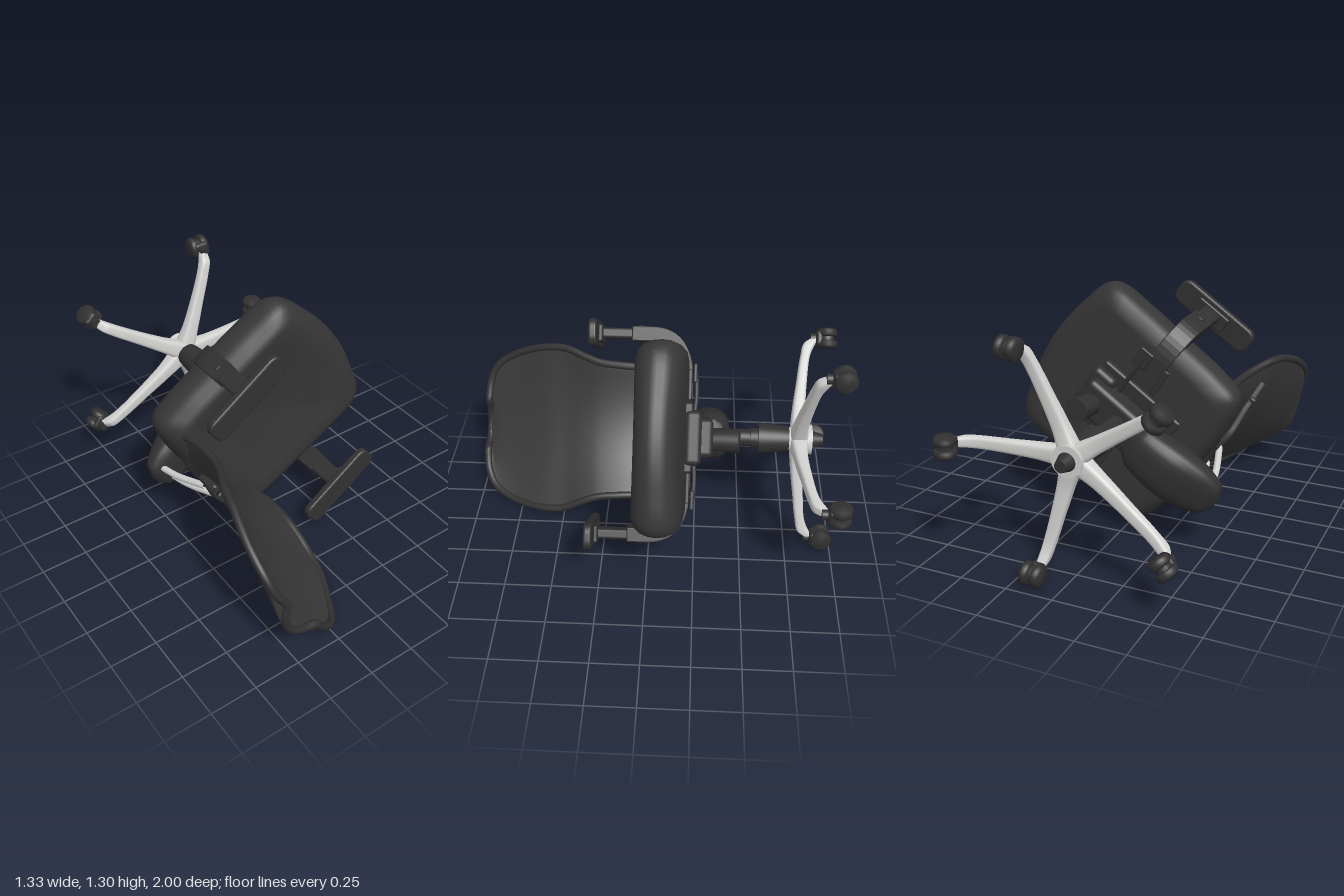
import * as THREE from 'three';
import { RoundedBoxGeometry } from 'three/addons/geometries/RoundedBoxGeometry.js';

const mat = (name, color) => Object.assign(new THREE.MeshStandardMaterial({ color }), { name });

// Skins a list of equal-length closed rings and closes both ends with fans.
function loft(rings) {
  const n = rings[0].length, pos = [], idx = [];
  rings.forEach(r => r.forEach(p => pos.push(...p)));
  for (let i = 0; i < rings.length - 1; i++) {
    for (let j = 0; j < n; j++) {
      const k = (j + 1) % n, a = i * n + j, b = a + n, c = i * n + k, d = c + n;
      idx.push(a, b, c, c, b, d);
    }
  }
  const last = (rings.length - 1) * n;
  for (let j = 1; j < n - 1; j++) idx.push(0, j, j + 1, last, last + j + 1, last + j);
  const g = new THREE.BufferGeometry();
  g.setAttribute('position', new THREE.Float32BufferAttribute(pos, 3));
  g.setIndex(idx);
  g.computeVertexNormals();
  return g;
}

// Smooth bar along +x with oval sections [x, z, halfWidth, halfHeight]; a low power squares the oval.
function ovalBar(sections, power, steps = 24, n = 24) {
  const centre = new THREE.CatmullRomCurve3(sections.map(s => new THREE.Vector3(s[0], s[1], 0)));
  const size = new THREE.CatmullRomCurve3(sections.map(s => new THREE.Vector3(s[2], s[3], 0)));
  const q = v => Math.sign(v) * Math.abs(v) ** power;
  const rings = [];
  for (let i = 0; i <= steps; i++) {
    const c = centre.getPoint(i / steps), h = size.getPoint(i / steps), ring = [];
    for (let j = 0; j < n; j++) {
      const t = (j / n) * Math.PI * 2;
      ring.push([c.x, h.x * q(Math.cos(t)), c.y - h.y * q(Math.sin(t))]);
    }
    rings.push(ring);
  }
  return loft(rings);
}

// Seat cushion: one outline shrunk and lifted through a pillow profile.
function seatGeometry() {
  const half = [[0.565, 0.25], [0.487, 0.463], [0.27, 0.488], [0, 0.485], [-0.25, 0.48], [-0.385, 0.45], [-0.435, 0.28]];
  const pts = [[0.595, 0], ...half, [-0.445, 0], ...half.map(([a, b]) => [a, -b]).reverse()];
  const line = new THREE.CatmullRomCurve3(pts.map(p => new THREE.Vector3(p[0], p[1], 0)), true).getPoints(96).slice(0, 96);
  const profile = [[0.002, 0.078], [0.25, 0.085], [0.5, 0.1], [0.7, 0.12], [0.82, 0.127], [0.9, 0.115], [0.96, 0.08], [0.99, 0.037],
    [1, -0.005], [0.99, -0.047], [0.96, -0.085], [0.9, -0.113], [0.8, -0.124], [0.4, -0.124], [0.002, -0.124]];
  return loft(profile.map(([s, h]) => line.map(p => {
    const a = 0.06 + (p.x - 0.06) * s, b = p.y * s, front = Math.max(0, a - 0.4);
    return [a, b, -0.078 + 0.055 * a + (0.05 - 1.5 * h) * front + h];
  })));
}

// Backrest: thin bowed sections through [height, edge position, half width].
const backLine = new THREE.CatmullRomCurve3([
  [0.982, -0.565, 0.15], [0.97, -0.555, 0.26], [0.92, -0.525, 0.355], [0.8, -0.475, 0.425], [0.62, -0.4, 0.462], [0.5, -0.365, 0.455],
  [0.4, -0.335, 0.415], [0.3, -0.315, 0.38], [0.15, -0.31, 0.365], [0.02, -0.33, 0.355], [-0.05, -0.36, 0.32],
].map(p => new THREE.Vector3(...p)));
const bowed = (u, s) => {
  const p = backLine.getPoint(u);
  return new THREE.Vector3(p.y - 0.085 * (1 - s * s), p.z * s, p.x);
};
function backGeometry() {
  const rings = [], steps = 50, n = 48;
  for (let i = 0; i <= steps; i++) {
    const ring = [];
    for (let j = 0; j < n; j++) {
      const t = (j / n) * Math.PI * 2, p = bowed(i / steps, Math.sin(t));
      ring.push([p.x + 0.018 * Math.cos(t), p.y, p.z]);
    }
    rings.push(ring);
  }
  return loft(rings);
}

// Rounded rim around the backrest, down one edge, across the foot, up the other and over the top.
function rimGeometry() {
  const path = [];
  for (let i = 0; i <= 30; i++) path.push(bowed(i / 30, 1));
  for (let i = 1; i < 8; i++) path.push(bowed(1, 1 - i / 4));
  for (let i = 30; i >= 0; i--) path.push(bowed(i / 30, -1));
  for (let i = 1; i < 8; i++) path.push(bowed(0, -1 + i / 4));
  return new THREE.TubeGeometry(new THREE.CatmullRomCurve3(path, true), 180, 0.021, 10, true);
}

// Armrest pad: bevelled rounded rectangle lying flat.
function padGeometry() {
  const l = 0.23, w = 0.055, r = 0.042, s = new THREE.Shape();
  s.moveTo(-l + r, -w).lineTo(l - r, -w).quadraticCurveTo(l, -w, l, -w + r).lineTo(l, w - r).quadraticCurveTo(l, w, l - r, w);
  s.lineTo(-l + r, w).quadraticCurveTo(-l, w, -l, w - r).lineTo(-l, -w + r).quadraticCurveTo(-l, -w, -l + r, -w);
  return new THREE.ExtrudeGeometry(s, { depth: 0.02, bevelSize: 0.015, bevelThickness: 0.012, bevelSegments: 4, curveSegments: 8 });
}

// Curved bracket running from below the seat out and up to the armrest.
function bracketGeometry(side) {
  const s = new THREE.Shape(), x = v => v * side;
  s.moveTo(x(0.2), -0.215).lineTo(x(0.37), -0.208).quadraticCurveTo(x(0.555), -0.175, x(0.56), -0.01).lineTo(x(0.56), 0.1);
  s.lineTo(x(0.495), 0.1).lineTo(x(0.495), -0.04).quadraticCurveTo(x(0.48), -0.14, x(0.37), -0.165).lineTo(x(0.2), -0.175);
  const g = new THREE.ExtrudeGeometry(s, { depth: 0.1, bevelSize: 0.006, bevelThickness: 0.006, bevelSegments: 2, curveSegments: 10 });
  return g.translate(0, 0, -0.05).rotateX(Math.PI / 2).rotateZ(Math.PI / 2);
}

export function createModel() {
  const fabric = mat('charcoal fabric', 0x363636);
  const mesh = mat('dark back mesh', 0x383838);
  const plastic = mat('black plastic', 0x313131);
  const metal = mat('polished metal', 0xd2d2d0);

  const model = new THREE.Group();
  const upper = new THREE.Group();
  const base = new THREE.Group();
  upper.name = 'seatAssembly';
  base.name = 'wheelBase';
  upper.rotation.z = THREE.MathUtils.degToRad(35);
  [upper, base].forEach(g => { g.position.set(-0.015, 0.65, 0); model.add(g); });

  const add = (parent, name, geo, material, x = 0, y = 0, z = 0) => {
    const m = new THREE.Mesh(geo, material);
    m.name = name;
    m.position.set(x, y, z);
    parent.add(m);
    return m;
  };
  const box = (x, y, z, r = 0.015) => new RoundedBoxGeometry(x, y, z, 3, r);
  const tube = (pts, r) => new THREE.TubeGeometry(new THREE.CatmullRomCurve3(pts.map(p => new THREE.Vector3(...p))), 28, r, 10);
  const post = (top, bottom, h) => new THREE.CylinderGeometry(top, bottom, h, 32).rotateX(Math.PI / 2);

  // Cushion and backrest
  add(upper, 'seatCushion', seatGeometry(), fabric);
  add(upper, 'backrest', backGeometry(), mesh);
  add(upper, 'backRim', rimGeometry(), plastic);

  // Tilt mechanism below the seat
  add(upper, 'seatPan', box(0.5, 0.36, 0.05), plastic, 0, 0, -0.2);
  add(upper, 'tiltHousing', box(0.36, 0.2, 0.14, 0.03), plastic, 0.06, 0, -0.26);
  add(upper, 'housingNose', box(0.14, 0.28, 0.09, 0.03), plastic, 0.2, 0, -0.225);
  add(upper, 'tensionKnob', post(0.055, 0.062, 0.15), plastic, 0.17, -0.01, -0.39).rotation.y = -0.12;
  add(upper, 'rearCover', ovalBar([[-0.635, -0.27, 0.03, 0.015], [-0.6, -0.275, 0.1, 0.05], [-0.5, -0.295, 0.135, 0.08],
    [-0.35, -0.32, 0.145, 0.105], [-0.17, -0.335, 0.125, 0.09], [-0.1, -0.335, 0.08, 0.05]], 0.75), plastic);

  for (const side of [-1, 1]) {
    // Armrest
    const arm = new THREE.Group();
    arm.name = side > 0 ? 'leftArmrest' : 'rightArmrest';
    upper.add(arm);
    add(arm, 'armPad', padGeometry(), plastic, 0.015, side * 0.523, 0.287);
    add(arm, 'armPadPlate', box(0.2, 0.09, 0.025, 0.01), plastic, 0.03, side * 0.525, 0.268);
    add(arm, 'armUpright', box(0.1, 0.055, 0.26), plastic, 0.03, side * 0.528, 0.15);
    add(arm, 'armBracket', bracketGeometry(side), plastic, 0.03);
    add(arm, 'armRail', box(0.16, 0.16, 0.02, 0.006), plastic, 0.03, side * 0.27, -0.205);
    add(arm, 'armButton', box(0.03, 0.012, 0.03, 0.005), plastic, 0.03, side * 0.567, 0.06);

    // Seat lever
    add(upper, 'leverRod', tube([[0.1, side * 0.08, -0.23], [0.1, side * 0.22, -0.24], [0.1, side * 0.33, -0.235]], 0.012), plastic);
    add(upper, 'leverPaddle', box(0.08, 0.1, 0.02, 0.008), plastic, 0.1, side * 0.33, -0.23);

    // Rear supports of the backrest
    add(upper, 'backStrut', tube([[-0.56, side * 0.05, -0.26], [-0.53, side * 0.055, -0.12], [-0.46, side * 0.06, 0.08]], 0.018), metal);
    add(upper, 'backRib', tube([[-0.44, side * 0.05, 0.05], [-0.45, side * 0.1, 0.2], [-0.425, side * 0.22, 0.31],
      [-0.405, side * 0.34, 0.43]], 0.02), plastic);
    add(upper, 'lumbarGrip', box(0.04, 0.07, 0.05, 0.012), plastic, -0.425, side * 0.25, 0.35);
  }
  add(upper, 'lumbarBar', tube([[-0.41, -0.26, 0.34], [-0.44, 0, 0.34], [-0.41, 0.26, 0.34]], 0.022), plastic);
  add(upper, 'backYoke', box(0.05, 0.18, 0.14, 0.02), plastic, -0.435, 0, 0.09);

  // Gas column
  add(base, 'columnPiston', post(0.045, 0.045, 0.3), plastic, 0, 0, -0.44);
  add(base, 'columnCollar', post(0.052, 0.052, 0.04), plastic, 0, 0, -0.55);
  add(base, 'columnSleeve', post(0.082, 0.066, 0.16), plastic, 0, 0, -0.65);
  add(base, 'hub', post(0.058, 0.08, 0.13), metal, 0, 0, -0.785);
  add(base, 'columnEnd', post(0.05, 0.03, 0.07), plastic, 0, 0, -0.875);

  // Five legs, each with a swivelled twin-wheel caster
  const legGeo = ovalBar([[0.02, -0.785, 0.055, 0.05], [0.15, -0.785, 0.042, 0.036], [0.33, -0.803, 0.034, 0.028],
    [0.47, -0.822, 0.031, 0.026], [0.545, -0.845, 0.028, 0.032], [0.58, -0.875, 0.022, 0.02]], 0.6);
  const wheelGeo = new THREE.LatheGeometry([[0, -0.022], [0.045, -0.022], [0.057, -0.014], [0.057, 0.008], [0.046, 0.021], [0, 0.025]]
    .map(p => new THREE.Vector2(...p)), 28);
  const casters = [[0.595, 0.01, 0], [0.22, 0.54, -1.5], [-0.49, 0.32, 0.7], [-0.52, -0.375, -0.7], [0.145, -0.565, -1.5]];
  casters.forEach(([x, y, swivel]) => {
    const leg = add(base, 'leg', legGeo, metal);
    leg.rotation.z = Math.atan2(y, x);
    leg.scale.x = Math.hypot(x, y) / 0.585;
    const caster = new THREE.Group();
    caster.name = 'caster';
    caster.position.set(x, y, -0.943);
    caster.rotation.z = swivel;
    base.add(caster);
    add(caster, 'wheelOuter', wheelGeo, plastic, 0, 0.032, 0);
    add(caster, 'wheelInner', wheelGeo, plastic, 0, -0.032, 0).rotation.x = Math.PI;
    add(caster, 'axle', new THREE.CylinderGeometry(0.04, 0.04, 0.06, 20), plastic);
    add(caster, 'casterHood', box(0.08, 0.085, 0.04, 0.018), plastic, 0, 0, 0.042);
    add(caster, 'casterStem', post(0.026, 0.026, 0.06), plastic, 0, 0, 0.06);
  });
  return model;
}
